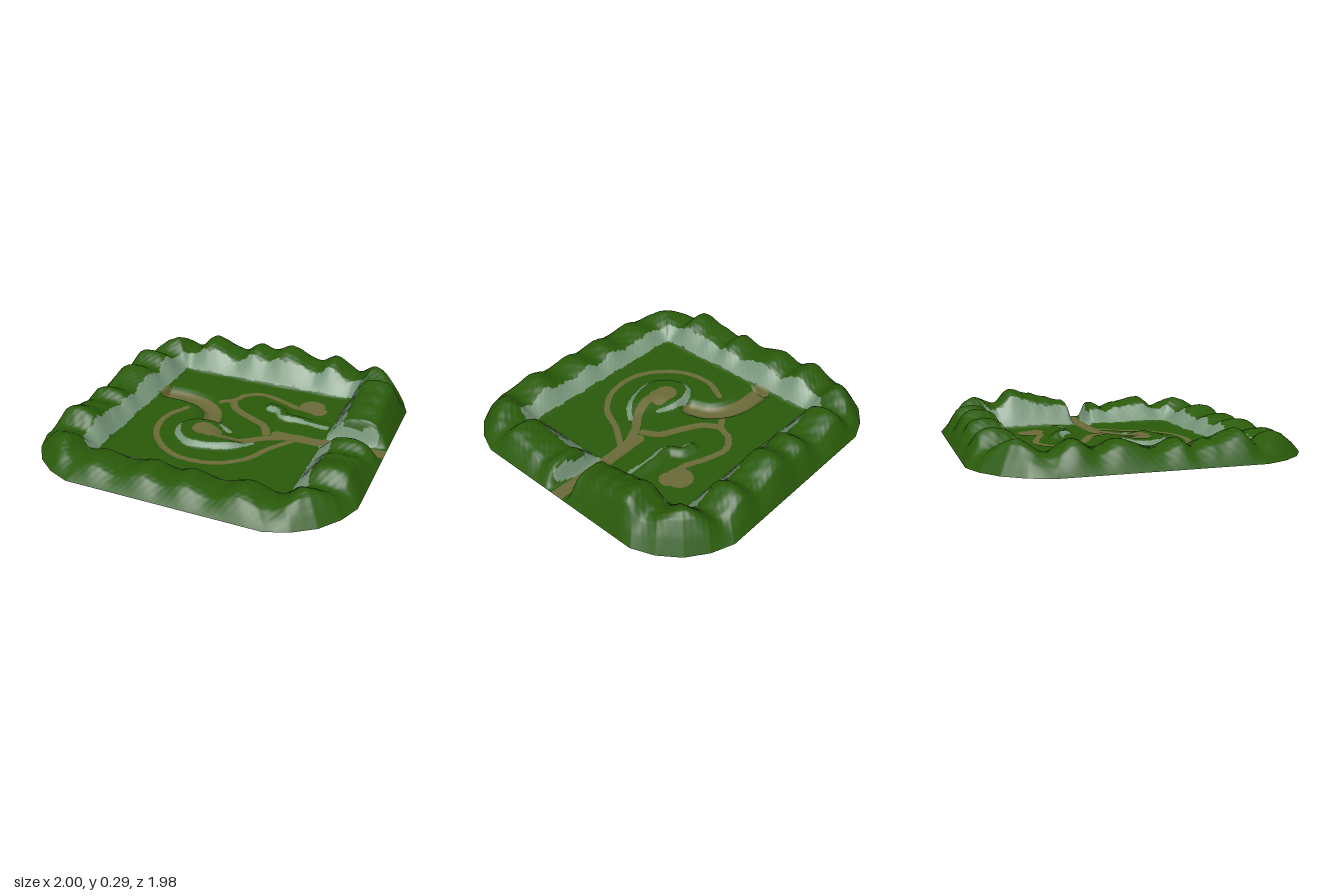
import * as THREE from 'three';

const FLOOR = 0.043, RIM = 0.05, N = 256, DEPTH = 0.99;
const { hypot, abs, max, min, sin } = Math;
const smooth = (x, a, b) => THREE.MathUtils.smoothstep(x, a, b);
const straight = (x, a, b) => (x - a) / (b - a);
const wobble = (x, z) => 0.5 * sin(31 * x + 17 * z) + 0.3 * sin(67 * x - 59 * z + 1) + 0.2 * sin(140 * x + 123 * z);

// Interpolated [position, value] table
function sample(table, p, ease) {
  if (p <= table[0][0]) return table[0][1];
  for (let i = 1; i < table.length; i++) {
    const [a, va] = table[i - 1], [b, vb] = table[i];
    if (p <= b) return va + (vb - va) * ease(p, a, b);
  }
  return table[table.length - 1][1];
}

// Smooth line on the ground, as a list of [x, z]
function trail(points) {
  const curve = new THREE.CatmullRomCurve3(points.map(([x, z]) => new THREE.Vector3(x, 0, z)));
  return curve.getPoints(points.length * 4).map(v => [v.x, v.z]);
}

function distance(line, x, z) {
  let best = 9;
  for (let i = 1; i < line.length; i++) {
    const [ax, az] = line[i - 1], dx = line[i][0] - ax, dz = line[i][1] - az;
    const t = THREE.MathUtils.clamp(((x - ax) * dx + (z - az) * dz) / (dx * dx + dz * dz || 1), 0, 1);
    best = min(best, hypot(x - ax - t * dx, z - az - t * dz));
  }
  return best;
}

function inside(line, x, z) {
  let hit = false;
  for (let i = 0, j = line.length - 1; i < line.length; j = i++) {
    const [ax, az] = line[i], [bx, bz] = line[j];
    if (az > z !== bz > z && x < (bx - ax) * (z - az) / (bz - az) + ax) hit = !hit;
  }
  return hit;
}

// Hill crest heights along each side
const crest = {
  back: [[-0.75, 0.225], [-0.61, 0.15], [-0.48, 0.24], [-0.26, 0.165], [-0.13, 0.24], [-0.03, 0.21], [0.1, 0.262],
    [0.32, 0.185], [0.43, 0.245], [0.59, 0.16], [0.75, 0.265]],
  front: [[-0.75, 0.19], [-0.61, 0.125], [-0.47, 0.155], [-0.32, 0.12], [-0.15, 0.165], [-0.03, 0.13], [0.1, 0.165],
    [0.25, 0.125], [0.43, 0.18], [0.6, 0.13], [0.75, 0.205]],
  left: [[-0.75, 0.225], [-0.6, 0.15], [-0.46, 0.22], [-0.34, 0.16], [-0.22, 0.205], [0, 0.145], [0.12, 0.19],
    [0.2, 0.145], [0.32, 0.175], [0.48, 0.225], [0.59, 0.14], [0.75, 0.19]],
  right: [[-0.75, 0.265], [-0.6, 0.205], [-0.48, 0.295], [-0.35, 0.26], [-0.25, 0.235], [-0.12, 0.205], [0.12, 0.175],
    [0.2, 0.14], [0.3, 0.17], [0.48, 0.205], [0.59, 0.135], [0.75, 0.205]],
};
const outerSlope = [[0, 0], [0.04, 0.43], [0.085, 0.84], [0.115, 0.95], [0.16, 1]];
const innerSlope = [[0.6, 0], [0.62, 0.09], [0.71, 0.83], [0.75, 0.94], [0.81, 1]];
// Outline of the cut corners: direction ratio to inverse reach
const cornerCut = [[0.6, 1], [0.778, 1.056], [1, 1.165]];

// Dirt paths: [line, half width], and round clearings: [x, z, radius]
const paths = [
  [trail([[1.1, 0], [0.7, 0], [0.45, 0.01], [0.27, 0.08], [0.15, 0.17], [0.04, 0.21], [-0.08, 0.2]]), 0.028],
  [[[1.1, -0.003], [0.32, 0.01]], 0.042],
  [trail([[-0.18, -0.26], [-0.11, -0.31], [-0.07, -0.4], [0.03, -0.46], [0.17, -0.43], [0.33, -0.37], [0.42, -0.38]]), 0.021],
  [trail([[-0.11, -0.29], [-0.05, -0.2], [0.09, -0.12], [0.2, -0.06], [0.25, 0.03]]), 0.026],
  [trail([[-0.36, -0.09], [-0.43, 0.06], [-0.41, 0.25], [-0.29, 0.41], [-0.13, 0.49], [0.09, 0.47], [0.25, 0.35],
    [0.33, 0.19], [0.43, 0.05]]), 0.02],
];
const clearings = [[-0.12, 0.17, 0.07], [-0.06, 0.18, 0.068], [0.41, -0.42, 0.085], [0.46, -0.38, 0.06]];
const channel = trail([[-0.75, -0.25], [-0.55, -0.255], [-0.4, -0.25], [-0.28, -0.21], [-0.19, -0.13], [-0.15, -0.03]]);

// Mound cliff, open on one side, and a short ledge
const moundCliff = trail([[0.03, 0.1], [-0.07, 0.05], [-0.21, 0.06], [-0.28, 0.13], [-0.26, 0.25], [-0.155, 0.34],
  [0.005, 0.325], [0.14, 0.26], [0.21, 0.18]]);
const moundOpening = [[0.03, 0.1], [0.21, 0.18]];
const ledge = trail([[0.15, -0.27], [0.22, -0.25], [0.27, -0.185], [0.4, -0.185], [0.58, -0.175]]);
const ledgeTop = ledge.map(([x, z]) => [x + 0.012, z - 0.03]);

// Rock faces on both sides of the pass
const passRocks = [[[0.62, 0.05], [0.78, 0.053], [0.92, 0.076]], [[0.64, -0.058], [0.8, -0.06], [0.92, -0.078]]];

const rounded = (x, z, c) => hypot(max(abs(x) - c, 0), max(abs(z) - c, 0)) + c;
const channelDepth = (x, z) => (1 - smooth(distance(channel, x, z), 0.02, 0.095)) * smooth(x, -0.63, -0.61);

function gapOpen(x, z) {
  if (x < 0.5) return 0;
  const flare = 0.06 * max(x - 0.7, 0);
  return 1 - smooth(abs(z + 0.003), 0.036 + flare, 0.092 + flare);
}

// 1 on the outline, less inside it
function reach(u, v) {
  const m = max(abs(u), abs(v));
  return m * sample(cornerCut, min(abs(u), abs(v)) / (m || 1), straight);
}

function pathEdge(x, z) { // negative on a path
  let d = 9;
  for (const [line, w] of paths) d = min(d, distance(line, x, z) - w);
  for (const [cx, cz, r] of clearings) d = min(d, hypot(x - cx, z - cz) - r);
  return d;
}

function height(x, z) {
  const s = rounded(x, z, 0.58);
  if (s > 0.6) { // surrounding hills
    const top = abs(x) > abs(z) ? sample(x > 0 ? crest.right : crest.left, z, smooth)
      : sample(z > 0 ? crest.front : crest.back, x, smooth);
    const edge = max(1 - reach(x, z / DEPTH), 0);
    const base = THREE.MathUtils.lerp(FLOOR, RIM, smooth(s, 0.7, 0.95));
    const rise = min(sample(innerSlope, s, straight), sample(outerSlope, edge, straight)) * (1 - gapOpen(x, z));
    return base + (top - base) * rise + 0.003 * wobble(x, z) * rise;
  }
  let y = FLOOR - 0.004 * (1 - smooth(pathEdge(x, z), -0.012, 0.012));
  const d = distance(moundCliff.concat([moundCliff[0]]), x, z) * (inside(moundCliff, x, z) ? 1 : -1);
  y += 0.036 * smooth(d, -0.035, 0.03) * smooth(distance(moundOpening, x, z), 0, 0.14);
  y += 0.034 * (1 - smooth(distance(ledgeTop, x, z), 0, 0.06)) * (1 - 0.7 * smooth(x, 0.25, 0.6));
  return y - (FLOOR - 0.001) * channelDepth(x, z);
}

function surfaceKind(x, z) {
  const s = rounded(x, z, 0.59), w = wobble(x, z);
  if (x > 0.6 && abs(z + 0.003) < 0.043) return 'dirt';
  if (passRocks.some(line => distance(line, x, z) < 0.017 + 0.004 * w)) return 'rock';
  if (s > 0.617 + 0.006 * w && s < 0.706 + 0.013 * w && gapOpen(x, z) < 0.9) return 'rock';
  if (s > 0.62) return 'grass';
  if (distance(channel, x, z) < 0.058 || pathEdge(x, z) < 0) return 'dirt';
  if (distance(moundCliff, x, z) < 0.017 + 0.004 * w) return 'rock';
  if (distance(ledge, x, z) < 0.014 + 0.006 * w) return 'rock';
  return 'grass';
}

// Square grid point pulled in to the outline with cut corners
function place(u, v) {
  const m = max(abs(u), abs(v));
  const f = 1 + (m / (reach(u, v) || 1) - 1) * smooth(m, 0.6, 1);
  return [u * f, v * f * DEPTH];
}

export function createModel() {
  const positions = [], kinds = { grass: [], rock: [], dirt: [] }, all = [];
  for (let j = 0; j <= N; j++) for (let i = 0; i <= N; i++) {
    const [x, z] = place(2 * i / N - 1, 2 * j / N - 1);
    positions.push(x, height(x, z), z);
  }
  for (let j = 0; j < N; j++) for (let i = 0; i < N; i++) {
    const a = j * (N + 1) + i, b = a + N + 1;
    for (const tri of [[a, b, a + 1], [a + 1, b, b + 1]]) {
      const mid = o => tri.reduce((sum, k) => sum + positions[3 * k + o], 0) / 3;
      kinds[surfaceKind(mid(0), mid(2))].push(...tri);
      all.push(...tri);
    }
  }
  const terrain = new THREE.BufferGeometry();
  terrain.setAttribute('position', new THREE.Float32BufferAttribute(positions, 3));
  terrain.setIndex(all);
  terrain.computeVertexNormals();

  // One mesh for each ground cover, sharing smooth normals
  const group = new THREE.Group();
  group.name = 'valleyTerrain';
  const covers = { grass: ['grassyGround', 0x2a5a0a], rock: ['rockCliffs', 0x78967a], dirt: ['dirtPaths', 0x6a6a39] };
  for (const [kind, [name, color]] of Object.entries(covers)) {
    const geometry = new THREE.BufferGeometry();
    geometry.setAttribute('position', terrain.getAttribute('position'));
    geometry.setAttribute('normal', terrain.getAttribute('normal'));
    geometry.setIndex(kinds[kind]);
    const material = new THREE.MeshStandardMaterial({ color, side: THREE.DoubleSide });
    material.name = kind;
    const mesh = new THREE.Mesh(geometry, material);
    mesh.name = name;
    group.add(mesh);
  }
  return group;
}
